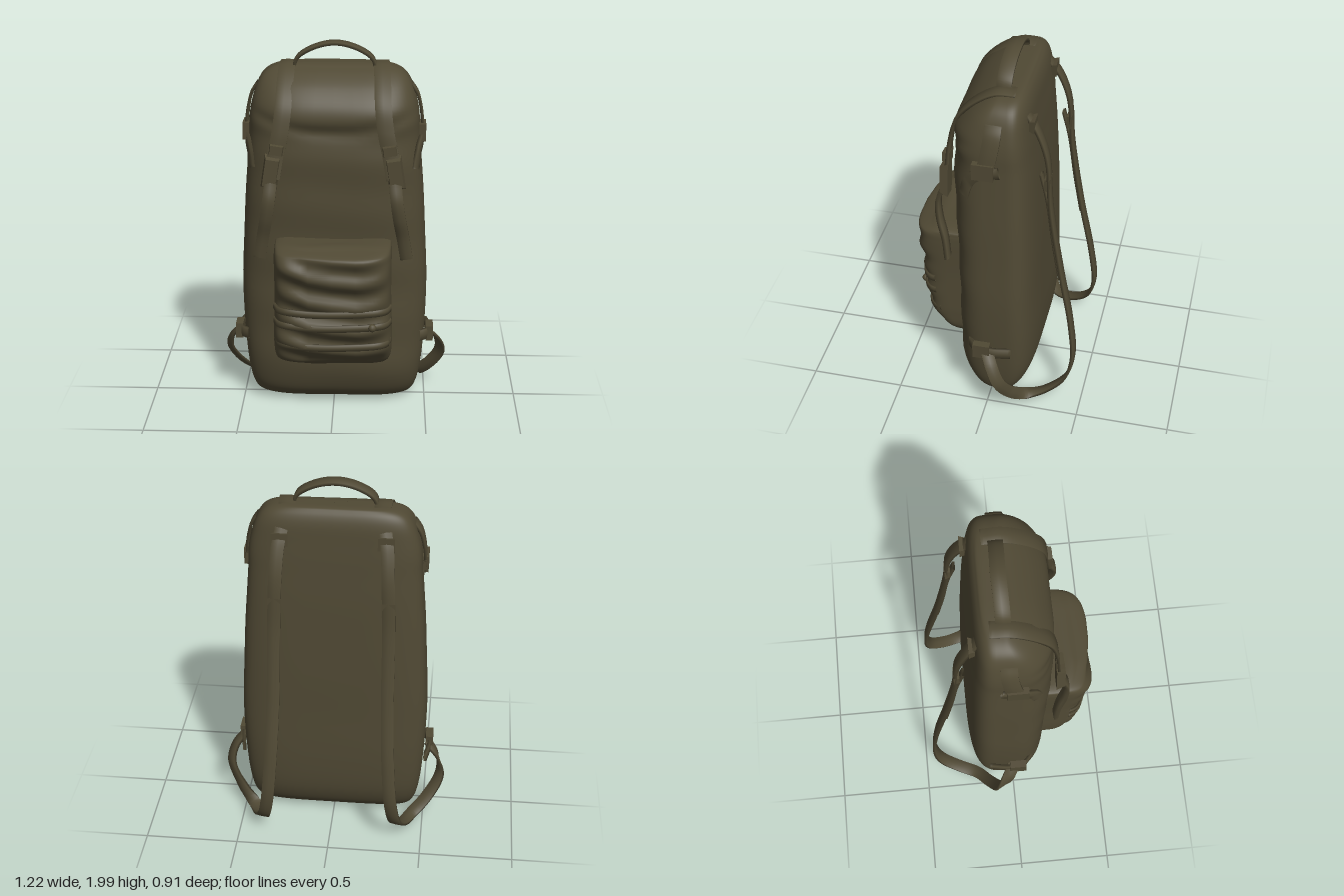
import * as THREE from 'three';

const canvas = new THREE.MeshStandardMaterial({ color: 0x504934 });
canvas.name = 'olive canvas';
canvas.side = THREE.DoubleSide;

const V = (p) => new THREE.Vector3(...p);

function add(group, name, geometry, position = [0, 0, 0]) {
  const mesh = new THREE.Mesh(geometry, canvas);
  mesh.name = name;
  mesh.position.set(...position);
  group.add(mesh);
  return mesh;
}

// Skin a grid of closed rows.
function skin(rows) {
  const n = rows[0].length, pos = [], index = [];
  rows.forEach((row) => row.forEach((p) => pos.push(p.x, p.y, p.z)));
  for (let i = 0; i < rows.length - 1; i++) {
    for (let j = 0; j < n; j++) {
      const a = i * n + j, b = i * n + (j + 1) % n;
      index.push(a, a + n, b, b, a + n, b + n);
    }
  }
  const g = new THREE.BufferGeometry();
  g.setAttribute('position', new THREE.Float32BufferAttribute(pos, 3));
  g.setIndex(index);
  g.computeVertexNormals();
  return g;
}

// Soft bag from sections [y, halfWidth, zFront, zBack], with cloth folds.
function bag(sections, steps, frontPower, backPower, zMid, fold) {
  const widths = new THREE.CatmullRomCurve3(sections.map(([y, w]) => V([w, y, 0])), false, 'centripetal');
  const depths = new THREE.CatmullRomCurve3(sections.map(([y, , f, b]) => V([f, y, b])), false, 'centripetal');
  const rows = [];
  for (let i = 0; i <= steps; i++) {
    const t = i / steps, a = widths.getPoint(t), d = depths.getPoint(t), row = [];
    const mid = Math.min(Math.max(zMid, d.z), d.x);
    for (let j = 0; j < 64; j++) {
      const q = -j / 64 * Math.PI * 2, c = Math.cos(q), s = Math.sin(q);
      const e = 2 / (s > 0 ? frontPower : backPower);
      const x = a.x * Math.sign(c) * Math.abs(c) ** e;
      const z = mid + (s > 0 ? d.x - mid : mid - d.z) * Math.sign(s) * Math.abs(s) ** e;
      row.push(new THREE.Vector3(x, a.y, z + (s > 0 ? s * fold(x, a.y) : 0)));
    }
    rows.push(row);
  }
  return skin(rows);
}

// Flat webbing along a path; its wide axis turns from wideA to wideB.
function strap(points, width, thick, wideA = [1, 0, 0], wideB = wideA) {
  const curve = new THREE.CatmullRomCurve3(points.map(V), false, 'centripetal');
  const steps = points.length * 6, rows = [];
  for (let i = 0; i <= steps; i++) {
    const t = i / steps, p = curve.getPoint(t), tan = curve.getTangent(t);
    const wide = V(wideA).lerp(V(wideB), t ** 3);
    wide.addScaledVector(tan, -wide.dot(tan)).normalize();
    const up = tan.clone().cross(wide).normalize();
    rows.push([[1, 1], [0, 1.25], [-1, 1], [-1, -1], [0, -1.25], [1, -1]].map(([u, v]) =>
      p.clone().addScaledVector(wide, u * width / 2).addScaledVector(up, v * thick / 2)));
  }
  return skin(rows);
}

// Box with tapered front, used for buckles.
function buckle(w, h, d) {
  const g = new THREE.BoxGeometry(w, h, d), p = g.attributes.position;
  for (let i = 0; i < p.count; i++) {
    if (p.getZ(i) > 0) p.setXY(i, p.getX(i) * 0.8, p.getY(i) * 0.8);
  }
  g.computeVertexNormals();
  return g;
}

export function createModel() {
  const model = new THREE.Group();
  model.name = 'backpack';

  // Main sack, with soft creases deepest under the lid
  add(model, 'mainSack', bag([
    [0.01, 0.001, -0.03, -0.032], [0.013, 0.34, 0.04, -0.09], [0.04, 0.425, 0.1, -0.14],
    [0.1, 0.455, 0.155, -0.19], [0.2, 0.475, 0.19, -0.225], [0.4, 0.492, 0.2, -0.24],
    [0.7, 0.5, 0.205, -0.235], [0.95, 0.488, 0.215, -0.23], [1.2, 0.474, 0.225, -0.22],
    [1.4, 0.458, 0.228, -0.21], [1.53, 0.448, 0.222, -0.2], [1.62, 0.444, 0.232, -0.193],
    [1.7, 0.43, 0.21, -0.185], [1.79, 0.4, 0.145, -0.175], [1.84, 0.365, 0.08, -0.16],
    [1.87, 0.31, 0.02, -0.14], [1.883, 0.2, -0.02, -0.12], [1.885, 0.001, -0.065, -0.067],
  ], 80, 3.2, 4, -0.04, (x, y) =>
    0.007 * Math.sin(9 * y + 7 * x) * Math.sin(5 * x - 13 * y)
    - 0.016 * Math.exp(-(((y - 1.57 - 0.5 * x * x) / 0.035) ** 2))));

  // Front pocket with folds
  add(model, 'frontPocket', bag([
    [0.295, 0.001, 0.18, 0.178], [0.3, 0.27, 0.24, 0.12], [0.34, 0.305, 0.31, 0.12],
    [0.43, 0.315, 0.375, 0.12], [0.55, 0.313, 0.405, 0.12], [0.7, 0.308, 0.415, 0.12],
    [0.85, 0.308, 0.438, 0.12], [0.92, 0.308, 0.448, 0.12], [0.965, 0.306, 0.43, 0.12],
    [0.99, 0.298, 0.36, 0.12], [1.0, 0.001, 0.25, 0.248],
  ], 80, 5, 8, 0.16, (x, y) =>
    0.017 * Math.sin(45 * y + 2.4 * Math.sin(6 * x + 1)) * Math.cos(3.2 * x)));

  // Webbing rows hugging the pocket
  [[0.66, 0.414], [0.58, 0.41], [0.46, 0.386]].forEach(([y, z]) =>
    add(model, 'pocketWebbing', strap([
      [-0.304, y + 0.005, z - 0.085], [-0.285, y, z - 0.045], [-0.24, y, z - 0.012], [-0.1, y - 0.008, z + 0.005],
      [0.1, y - 0.005, z + 0.005], [0.24, y, z - 0.012], [0.285, y, z - 0.045], [0.304, y + 0.005, z - 0.085],
    ], 0.035, 0.012, [0, 1, 0])));
  add(model, 'pocketToggle', new THREE.SphereGeometry(0.022, 12, 8), [0.21, 0.58, 0.41]);

  // Carry handle
  add(model, 'carryHandle', strap([
    [-0.215, 1.84, -0.03], [-0.195, 1.91, -0.03], [-0.11, 1.965, -0.032], [0, 1.988, -0.035],
    [0.11, 1.965, -0.032], [0.195, 1.91, -0.03], [0.215, 1.84, -0.03],
  ], 0.075, 0.016, [0, 0, 1]));

  for (const s of [1, -1]) {
    const side = new THREE.Group();
    side.name = s > 0 ? 'leftStraps' : 'rightStraps';
    model.add(side);
    const path = (pts) => pts.map(([x, y, z]) => [x * s, y, z]);

    // Lid strap over the front, buckle and hanging tail
    add(side, 'lidStrap', strap(path([
      [0.24, 1.877, -0.1], [0.245, 1.873, 0.0], [0.25, 1.8, 0.118], [0.255, 1.7, 0.2],
      [0.27, 1.58, 0.23], [0.295, 1.46, 0.24], [0.315, 1.34, 0.255],
    ]), 0.085, 0.014));
    const clip = add(side, 'lidBuckle', buckle(0.085, 0.18, 0.045), [0.32 * s, 1.37, 0.25]);
    clip.rotation.z = 0.15 * s;
    const ladder = add(side, 'strapAdjuster', buckle(0.08, 0.06, 0.04), [0.29 * s, 1.49, 0.245]);
    ladder.rotation.z = 0.15 * s;
    add(side, 'lidStrapTail', strap(path([
      [0.32, 1.32, 0.26], [0.33, 1.23, 0.288], [0.345, 1.13, 0.28], [0.365, 1.02, 0.25], [0.385, 0.9, 0.232],
    ]), 0.065, 0.02));

    // Shoulder strap, looping under to the side
    add(side, 'shoulderStrap', strap(path([
      [0.26, 1.78, -0.16], [0.275, 1.7, -0.215], [0.285, 1.55, -0.268], [0.295, 1.25, -0.293],
      [0.3, 0.85, -0.355], [0.315, 0.5, -0.42], [0.335, 0.27, -0.44], [0.36, 0.14, -0.405],
      [0.4, 0.06, -0.3], [0.44, 0.05, -0.21], [0.52, 0.12, -0.14], [0.585, 0.24, -0.08],
      [0.567, 0.33, -0.04], [0.51, 0.4, 0],
    ]), 0.066, 0.015, [1, 0, 0], [0.1 * s, 0.1, 0.9]));
    add(side, 'shoulderAnchor', buckle(0.085, 0.07, 0.03), [0.268 * s, 1.73, -0.19]);
    add(side, 'shoulderAdjuster', buckle(0.07, 0.08, 0.03), [0.29 * s, 1.4, -0.275]);
    add(side, 'shoulderStrapTail', strap(path([
      [0.29, 1.45, -0.24], [0.295, 1.3, -0.275], [0.3, 1.05, -0.31], [0.305, 0.8, -0.352],
    ]), 0.045, 0.012));

    // Lower side strap and buckle
    add(side, 'lowerSideStrap', strap(path([
      [0.462, 0.4, 0.1], [0.505, 0.4, 0.06], [0.52, 0.39, -0.02], [0.502, 0.385, -0.13],
    ]), 0.06, 0.016, [0, 1, 0]));
    add(side, 'lowerSideBuckle', new THREE.BoxGeometry(0.04, 0.085, 0.09), [0.52 * s, 0.4, 0.025]);

    // Upper side compression straps
    add(side, 'upperSideStrap', strap(path([
      [0.425, 1.36, 0.125], [0.438, 1.45, 0.1], [0.458, 1.52, 0.04], [0.458, 1.54, -0.06],
    ]), 0.06, 0.016, [0, 1, 0]));
    add(side, 'upperSideBuckle', new THREE.BoxGeometry(0.035, 0.09, 0.11), [0.46 * s, 1.54, 0.02]);
    add(side, 'lidSideTab', strap(path([
      [0.4, 1.78, -0.02], [0.432, 1.73, -0.02], [0.452, 1.65, -0.01], [0.462, 1.55, 0.01],
    ]), 0.085, 0.014, [0, 0, 1]));
  }
  return model;
}
